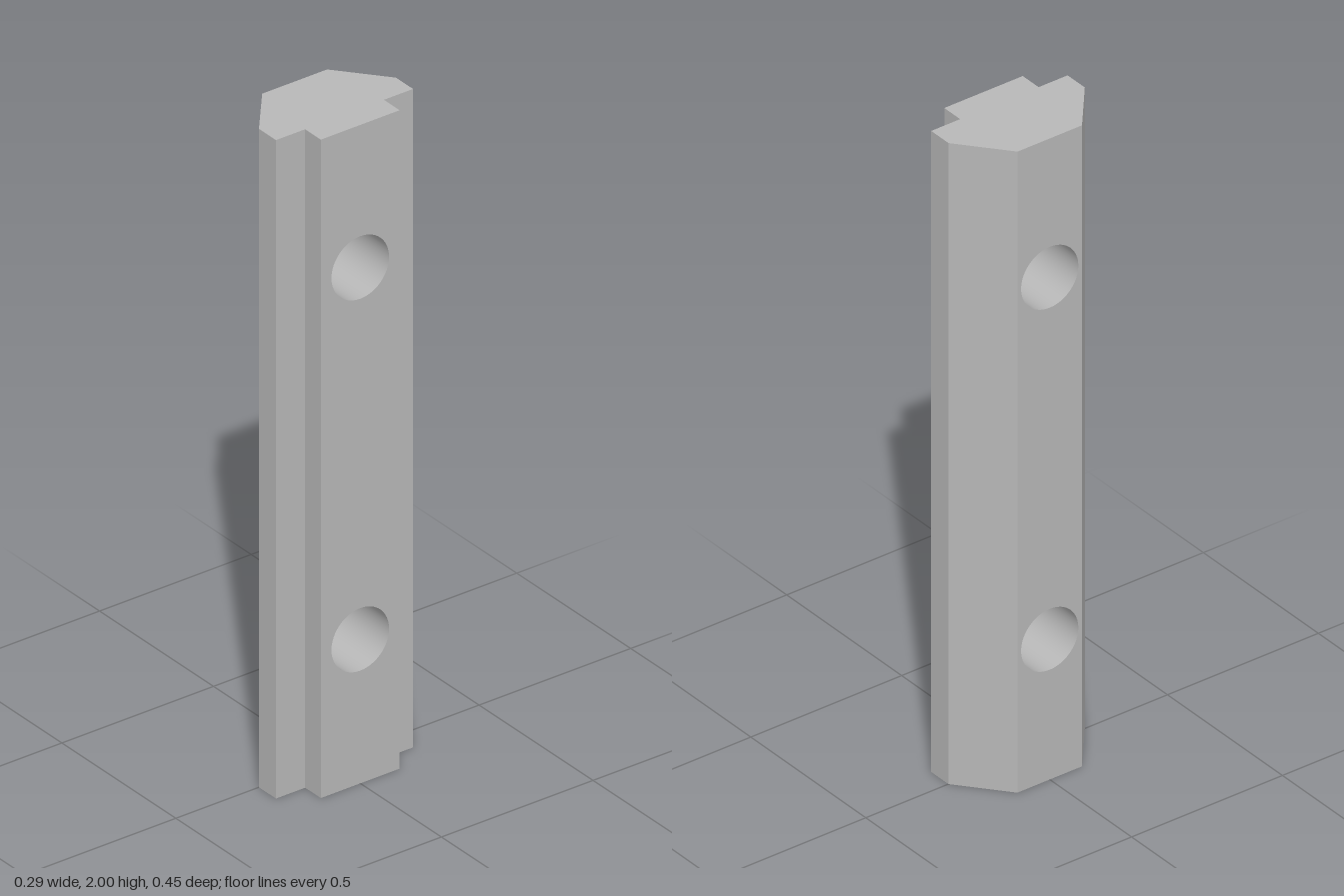
import * as THREE from 'three';

const HEIGHT = 2;
const BORE_RADIUS = 0.095;
const BORE_HEIGHTS = [0.4375, 1.567];

// Half of the bar's cross-section [x, z], front side, from the narrow face to the rib
const half = [[-0.144, 0.107], [0, 0.226], [0.075, 0.226], [0.075, 0.13], [0.144, 0.13]];
const profile = [...half, ...half.map(([x, z]) => [x, -z]).reverse()];

export function createModel() {
  const bar = new THREE.Group();
  bar.name = 'slottedBar';
  const steel = new THREE.MeshStandardMaterial({ color: 0xb8b8b8 });
  steel.name = 'grey steel';

  const add = (name, geometry) => {
    const mesh = new THREE.Mesh(geometry, steel);
    mesh.name = name;
    bar.add(mesh);
    return mesh;
  };

  // Long faces; the two facing along x are pierced by the bores
  const names = ['frontBevel', 'frontFlange', 'frontStep', 'frontRibSide', 'ribFace',
    'backRibSide', 'backStep', 'backFlange', 'backBevel', 'narrowFace'];
  profile.forEach(([x, z], i) => {
    const [x2, z2] = profile[(i + 1) % profile.length];
    const width = Math.hypot(x2 - x, z2 - z);
    const panel = new THREE.Shape([[0, 0], [width, 0], [width, HEIGHT], [0, HEIGHT]]
      .map(([u, v]) => new THREE.Vector2(u, v)));
    if (names[i] === 'ribFace' || names[i] === 'narrowFace') {
      for (const y of BORE_HEIGHTS) {
        panel.holes.push(new THREE.Path().absarc(width / 2, y, BORE_RADIUS, 0, Math.PI * 2, true));
      }
    }
    const mesh = add(names[i], new THREE.ShapeGeometry(panel, 24));
    mesh.position.set(x, 0, z);
    mesh.rotation.y = Math.atan2(z - z2, x2 - x);
  });

  // End caps
  const section = new THREE.Shape(profile.map(([x, z]) => new THREE.Vector2(x, -z)));
  add('topCap', new THREE.ShapeGeometry(section).rotateX(-Math.PI / 2).translate(0, HEIGHT, 0));
  add('bottomCap', new THREE.ShapeGeometry(section).rotateX(Math.PI / 2));

  // Bore walls, profile run downwards so that they face inwards
  const wall = [new THREE.Vector2(BORE_RADIUS, 0.144), new THREE.Vector2(BORE_RADIUS, -0.144)];
  BORE_HEIGHTS.forEach((y, i) => {
    add(i ? 'upperBore' : 'lowerBore',
      new THREE.LatheGeometry(wall, 48).rotateZ(Math.PI / 2).translate(0, y, 0));
  });

  return bar;
}
